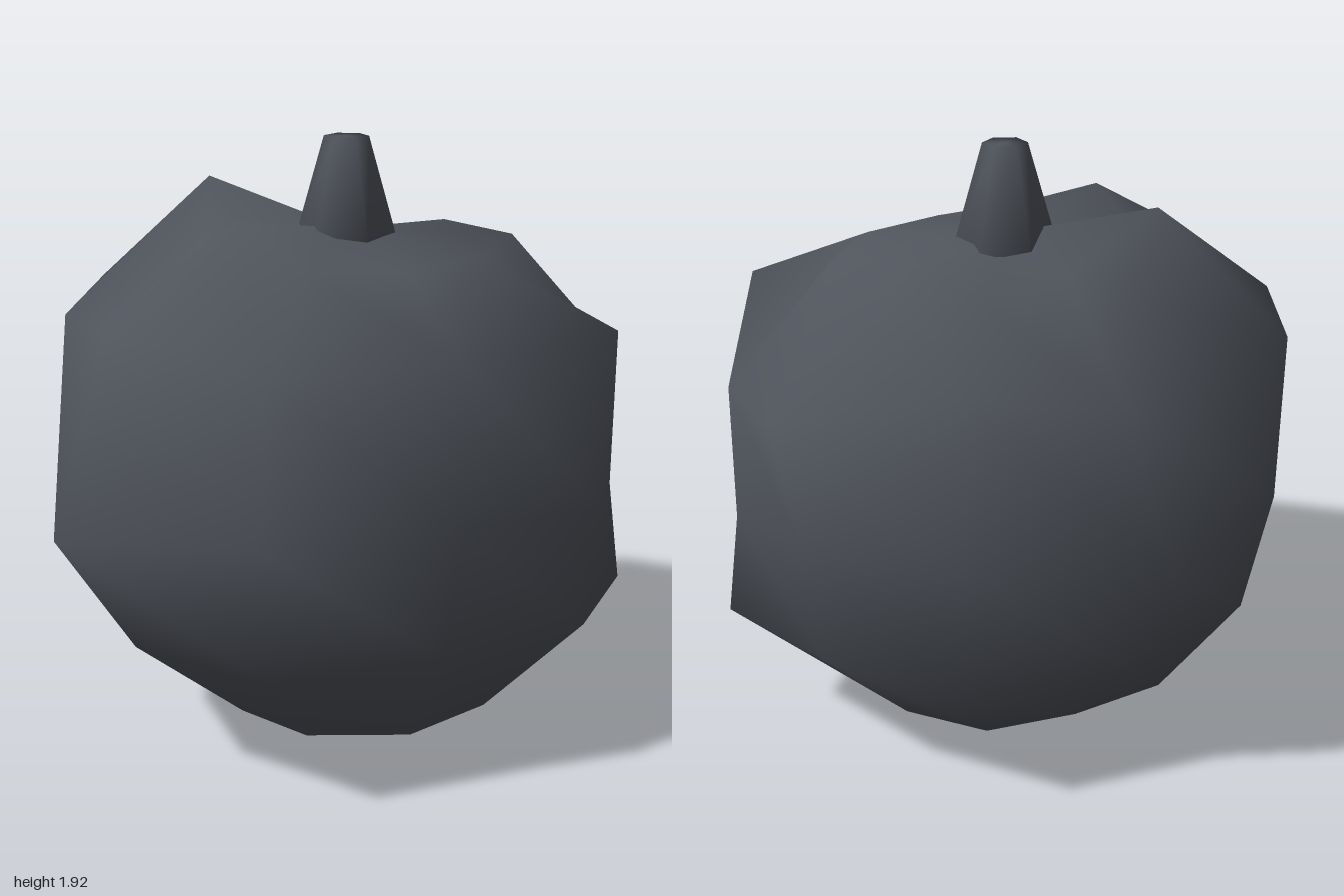
import * as THREE from 'three';
import { mergeVertices } from 'three/addons/utils/BufferGeometryUtils.js';

const SIDES = 10;
const AXIS = 0.06; // the body's axis sits a little off centre in x and z
const WIDE = 1.05; // the body's cross-section is slightly oval
const DEEP = 0.955;

// Rings of the lumpy body from top to bottom: radius and height per corner,
// counted from the front (+z) towards +x in 36 degree steps
const RINGS = [
  { r: [0.47, 0.48, 0.51, 0.41, 0.41, 0.38, 0.495, 0.42, 0.41, 0.50],
    y: [1.57, 1.58, 1.60, 1.61, 1.53, 1.59, 1.76, 1.60, 1.70, 1.59] },
  { r: [0.82, 0.91, 0.85, 0.942, 0.83, 0.73, 0.915, 0.84, 0.87, 0.88],
    y: [1.38, 1.40, 1.20, 1.27, 1.39, 1.27, 1.40, 1.38, 1.44, 1.35] },
  { r: [0.85, 0.88, 0.85, 0.85, 0.84, 0.984, 0.90, 0.83, 1.062, 0.98],
    y: [0.88, 0.85, 0.76, 0.85, 0.85, 0.86, 0.87, 0.85, 0.85, 0.90] },
  { r: [0.75, 0.84, 0.89, 0.79, 0.85, 0.78, 0.81, 0.77, 0.80, 0.90],
    y: [0.46, 0.46, 0.43, 0.46, 0.46, 0.44, 0.47, 0.46, 0.45, 0.47] },
  { r: [0.52, 0.51, 0.46, 0.46, 0.48, 0.45, 0.54, 0.42, 0.41, 0.48],
    y: Array(SIDES).fill(0.12) },
];

// Dented ball: two poles joined by the rings, with shared smooth normals
function bodyGeometry() {
  const pos = [AXIS, 1.63, AXIS];
  for (const ring of RINGS) {
    for (let k = 0; k < SIDES; k++) {
      const a = (k / SIDES) * Math.PI * 2;
      pos.push(
        AXIS + Math.sin(a) * ring.r[k] * WIDE,
        ring.y[k],
        AXIS + Math.cos(a) * ring.r[k] * DEEP
      );
    }
  }
  pos.push(AXIS, 0, AXIS);

  const at = (ring, k) => 1 + ring * SIDES + (k % SIDES);
  const last = RINGS.length - 1;
  const bottom = 1 + RINGS.length * SIDES;
  const index = [];
  for (let k = 0; k < SIDES; k++) {
    index.push(0, at(0, k), at(0, k + 1));
    for (let i = 0; i < last; i++) {
      const a = at(i, k), b = at(i, k + 1), c = at(i + 1, k), d = at(i + 1, k + 1);
      index.push(a, c, d, a, d, b);
    }
    index.push(at(last, k), bottom, at(last, k + 1));
  }
  const geo = new THREE.BufferGeometry();
  geo.setAttribute('position', new THREE.Float32BufferAttribute(pos, 3));
  geo.setIndex(index);
  geo.computeVertexNormals();
  return geo;
}

// Tapered six-sided stalk, smoothed over its rim
function stemGeometry() {
  const raw = new THREE.CylinderGeometry(0.07, 0.16, 0.32, 6);
  raw.deleteAttribute('normal');
  raw.deleteAttribute('uv');
  const geo = mergeVertices(raw, 1e-4);
  geo.computeVertexNormals();
  return geo;
}

export function createModel() {
  const group = new THREE.Group();
  const charcoal = new THREE.MeshStandardMaterial({ color: 0x50545c });
  charcoal.name = 'charcoal';

  const body = new THREE.Mesh(bodyGeometry(), charcoal);
  body.name = 'body';

  const stem = new THREE.Mesh(stemGeometry(), charcoal);
  stem.name = 'stem';
  stem.position.set(0.065, 1.757, 0.055);

  group.add(body, stem);
  return group;
}
